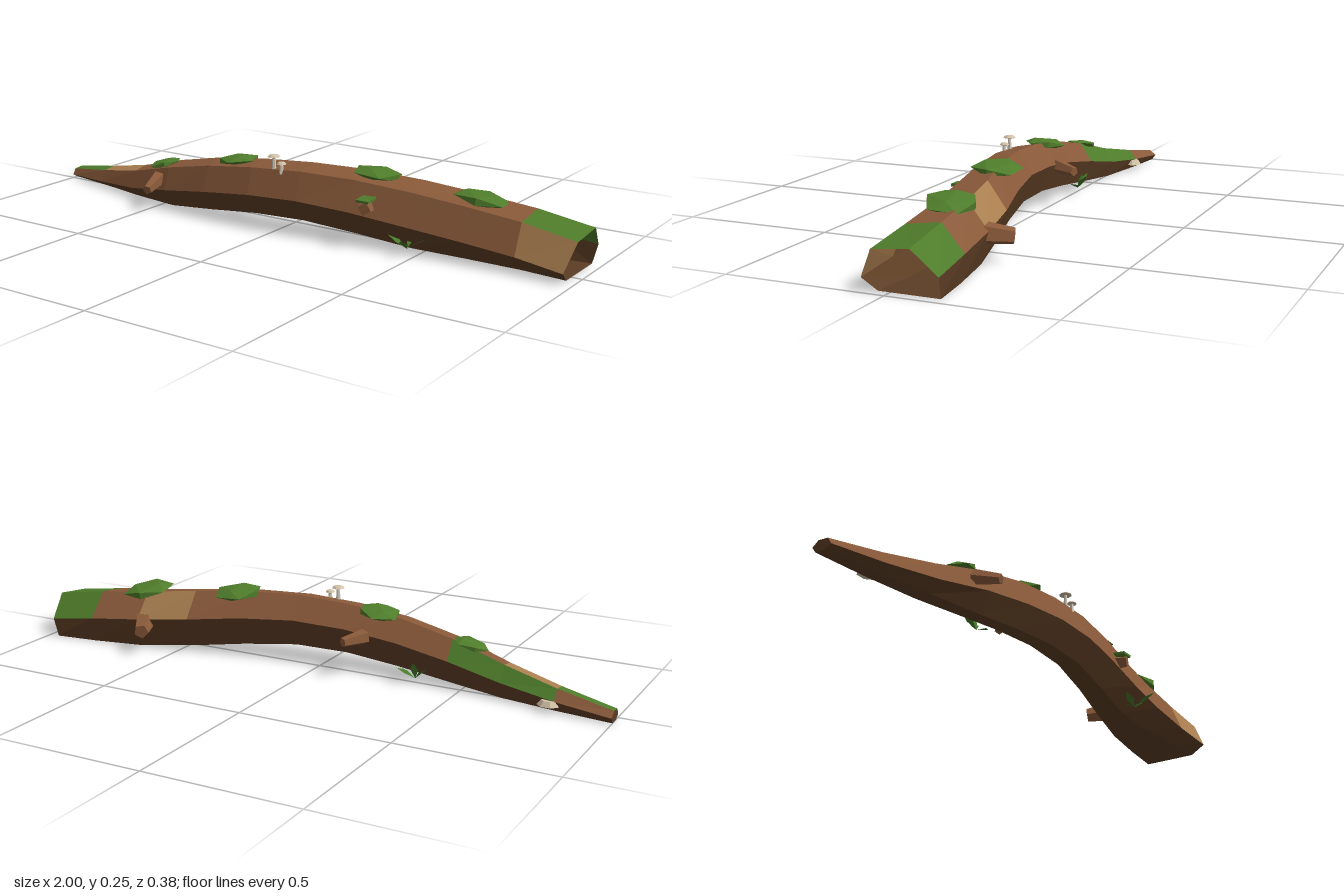
import * as THREE from 'three';

const material = (name, color) =>
  new THREE.MeshStandardMaterial({ name, color, flatShading: true, side: THREE.DoubleSide });
const mats = {
  bark: material('bark', 0x8a5a3a),
  darkBark: material('darkBark', 0x5c3d24),
  bareWood: material('bareWood', 0xab8050),
  moss: material('moss', 0x4f7d2b),
  grass: material('grass', 0x467a2a),
  cap: material('mushroomCap', 0xd2c2a8),
  stem: material('mushroomStem', 0xd6ccbc),
};
const V = (x, y, z) => new THREE.Vector3(x, y, z);

// Six-sided rings along the log: centre y, radius y, centre z, radius z
const RINGS = [
  [0.015, 0.022, -0.033, 0.034], [0.027, 0.042, -0.005, 0.046], [0.045, 0.062, 0.03, 0.056],
  [0.077, 0.08, 0.058, 0.068], [0.105, 0.09, 0.07, 0.072], [0.125, 0.092, 0.07, 0.076],
  [0.132, 0.096, 0.058, 0.079], [0.122, 0.104, 0.03, 0.087], [0.103, 0.108, -0.003, 0.099],
  [0.085, 0.106, -0.025, 0.106], [0.068, 0.103, -0.036, 0.112], [0.048, 0.094, -0.035, 0.12],
];
// Patches of other colours on the upper sides, keyed 'segment,side'
const PATCHES = {
  '0,1': 'moss', '1,1': 'bareWood', '1,2': 'moss', '2,2': 'moss',
  '8,2': 'bareWood', '10,0': 'bareWood', '10,1': 'moss', '10,2': 'moss',
};

function ringPoint(i, side) {
  const [cy, ry, cz, rz] = RINGS[i];
  const k = side % 6;
  const a = k * Math.PI / 3 - 0.15;
  const y = Math.max(0, cy + ry * Math.sin(a)); // flattened where it rests
  const last = i === RINGS.length - 1;
  const x = last ? 0.978 + (y - cy) * 0.25 : -1 + i * 2 / 11;
  // The thick end spreads at its foot
  const spread = Math.max(0, i - 8) * 0.0135;
  const foot = k === 4 ? -spread : k === 5 ? spread * 0.7 : 0;
  return V(x, y, cz + rz * Math.cos(a) + foot);
}

// Hollow log, one mesh per colour, with a darker underside
function makeLog(group) {
  const tris = { bark: [], darkBark: [], bareWood: [], moss: [] };
  for (let i = 0; i < 11; i++) {
    for (let k = 0; k < 6; k++) {
      const a = ringPoint(i, k), b = ringPoint(i + 1, k);
      const c = ringPoint(i + 1, k + 1), d = ringPoint(i, k + 1);
      const key = PATCHES[i + ',' + k] || (k < 3 ? 'bark' : 'darkBark');
      tris[key].push(a, b, c, a, c, d);
    }
  }
  // Closed thin tip
  for (let k = 1; k < 5; k++) tris.darkBark.push(ringPoint(0, 0), ringPoint(0, k), ringPoint(0, k + 1));
  for (const [key, pts] of Object.entries(tris)) {
    const geo = new THREE.BufferGeometry().setFromPoints(pts);
    geo.computeVertexNormals();
    add(group, 'log ' + key, geo, mats[key]);
  }
}

function add(group, name, geo, mat, pos = V(0, 0, 0)) {
  const mesh = new THREE.Mesh(geo, mat);
  mesh.name = name;
  mesh.position.copy(pos);
  group.add(mesh);
  return mesh;
}

// Tapered peg between two points
function peg(group, name, from, to, r0, r1, mat, sides = 5) {
  const dir = to.clone().sub(from);
  const geo = new THREE.CylinderGeometry(r1, r0, dir.length(), sides);
  const mesh = add(group, name, geo, mat, from.clone().add(to).multiplyScalar(0.5));
  mesh.quaternion.setFromUnitVectors(V(0, 1, 0), dir.normalize());
}

// Flattened, faceted clump of moss lying on the bark
function mossClump(group, x, y, z, r, tiltZ, tiltX) {
  const geo = new THREE.IcosahedronGeometry(r, 0);
  geo.rotateY(x * 5).scale(1, 0.24, 0.92);
  const mesh = add(group, 'mossClump', geo, mats.moss, V(x, y, z));
  mesh.rotation.set(tiltX, 0, tiltZ);
}

// Pointed blades fanned out from one root
function grassTuft(group, root, tips) {
  const tuft = new THREE.Group();
  tuft.name = 'grassTuft';
  for (const tip of tips) {
    const dir = tip.clone().sub(root);
    const side = V(dir.z, 0, -dir.x).normalize().multiplyScalar(0.014);
    const mid = root.clone().addScaledVector(dir, 0.5).add(V(0, 0.004, 0));
    const l = mid.clone().add(side), r = mid.clone().sub(side);
    const geo = new THREE.BufferGeometry().setFromPoints([root, l, r, l, tip, r]);
    geo.computeVertexNormals();
    add(tuft, 'blade', geo, mats.grass);
  }
  group.add(tuft);
}

function mushroom(group, x, z, base, top, r) {
  const g = new THREE.Group();
  g.name = 'mushroom';
  peg(g, 'stem', V(x, base, z), V(x, top - 0.007, z), 0.008, 0.005, mats.stem, 6);
  const profile = [[0, -0.008], [r * 0.5, -0.012], [r, -0.009], [r * 0.7, -0.003], [0, 0]];
  const cap = new THREE.LatheGeometry(profile.map(([a, b]) => new THREE.Vector2(a, b)), 8);
  add(g, 'cap', cap, mats.cap, V(x, top, z));
  group.add(g);
}

export function createModel() {
  const model = new THREE.Group();
  model.name = 'fallenLog';
  makeLog(model);

  // Broken branch stubs
  peg(model, 'branchStub', V(-0.498, 0.097, 0.1), V(-0.48, 0.075, 0.185), 0.026, 0.016, mats.bark);
  peg(model, 'branchStub', V(-0.165, 0.125, 0.0), V(-0.125, 0.12, -0.078), 0.026, 0.016, mats.bark);
  peg(model, 'branchStub', V(0.625, 0.092, -0.1), V(0.582, 0.08, -0.184), 0.036, 0.025, mats.bark);
  peg(model, 'branchStub', V(0.325, 0.13, 0.075), V(0.34, 0.13, 0.128), 0.03, 0.022, mats.bark, 4);
  const plate = add(model, 'stubMoss', new THREE.BoxGeometry(0.044, 0.008, 0.05), mats.moss, V(0.334, 0.156, 0.108));
  plate.rotation.x = 0.1;

  // Moss along the top
  mossClump(model, -0.51, 0.138, 0.052, 0.06, 0.24, 0.05);
  mossClump(model, -0.19, 0.196, 0.055, 0.076, 0.12, -0.05);
  mossClump(model, 0.31, 0.211, -0.002, 0.087, -0.06, -0.1);
  mossClump(model, 0.66, 0.181, -0.025, 0.092, -0.12, -0.12);

  // Grass at the foot of the log
  grassTuft(model, V(0.465, 0.015, 0.08), [
    V(0.482, 0.06, 0.152), V(0.53, 0.055, 0.085), V(0.4, 0.05, 0.085), V(0.44, 0.06, -0.015),
  ]);
  grassTuft(model, V(-0.345, 0.014, -0.002), [
    V(-0.3, 0.068, -0.052), V(-0.395, 0.06, -0.02), V(-0.345, 0.07, -0.02), V(-0.28, 0.04, -0.005),
  ]);

  // Mushrooms on the front shoulder, and a bracket on the back of the tip
  mushroom(model, -0.012, 0.106, 0.19, 0.25, 0.021);
  mushroom(model, 0.02, 0.11, 0.19, 0.231, 0.016);
  const bracket = add(model, 'bracketFungus', new THREE.CylinderGeometry(0.022, 0.036, 0.016, 7), mats.cap, V(-0.8, 0.026, -0.046));
  bracket.scale.z = 0.75;
  return model;
}
